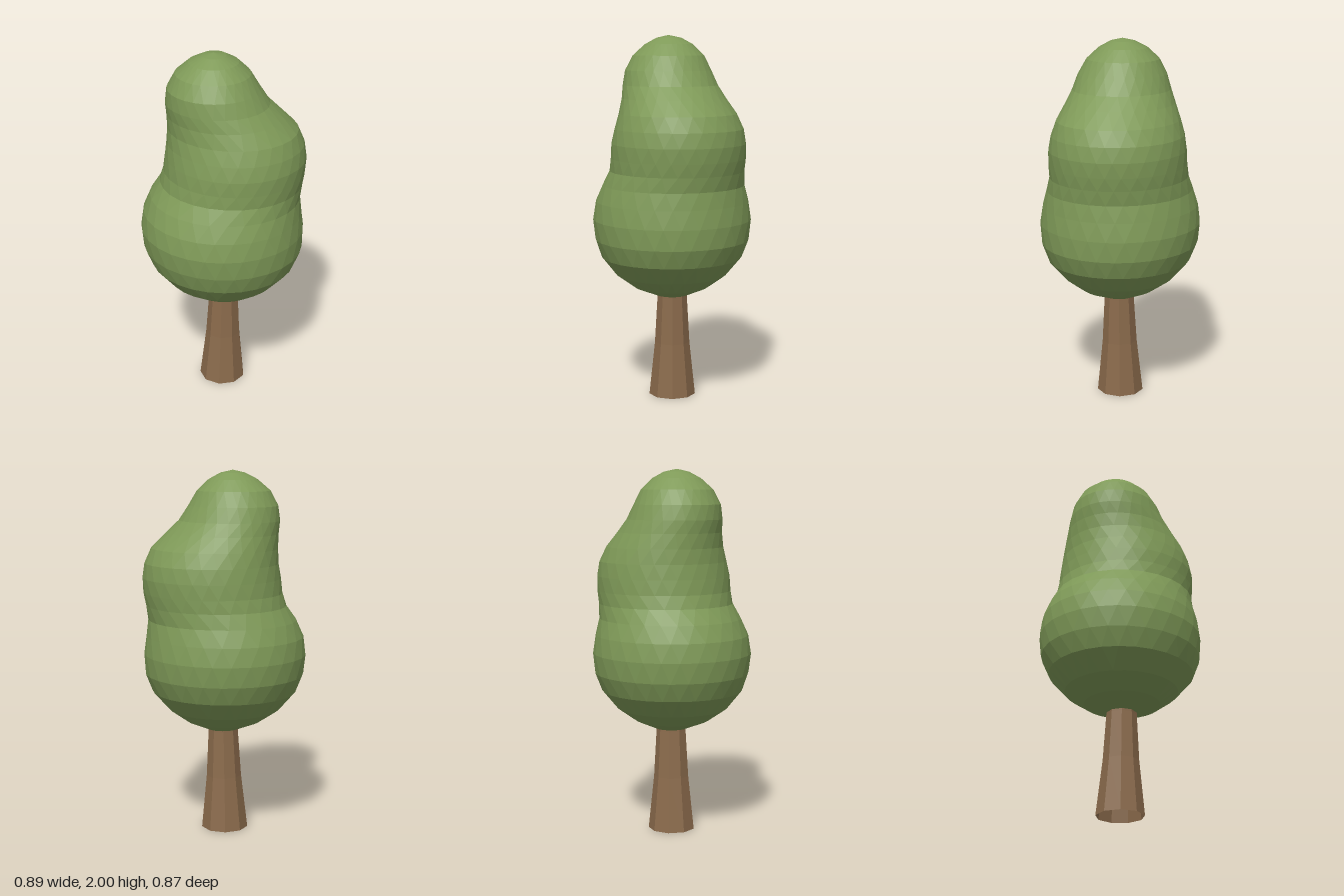
import * as THREE from 'three';

// Canopy outline: [height, left x, right x, back z, front z]
const OUTLINE = [
  [0.572, -0.08, 0.10, -0.09, 0.09],
  [0.62, -0.20, 0.22, -0.20, 0.21],
  [0.69, -0.305, 0.315, -0.30, 0.31],
  [0.79, -0.395, 0.405, -0.385, 0.39],
  [0.89, -0.438, 0.443, -0.425, 0.425],
  [1.0, -0.45, 0.447, -0.435, 0.437],
  [1.1, -0.437, 0.435, -0.42, 0.42],
  [1.19, -0.40, 0.423, -0.397, 0.383],
  [1.27, -0.35, 0.43, -0.395, 0.342],
  [1.34, -0.33, 0.44, -0.40, 0.335],
  [1.42, -0.32, 0.445, -0.40, 0.33],
  [1.5, -0.31, 0.432, -0.387, 0.313],
  [1.58, -0.305, 0.40, -0.35, 0.29],
  [1.66, -0.302, 0.325, -0.295, 0.275],
  [1.73, -0.302, 0.255, -0.25, 0.27],
  [1.81, -0.288, 0.205, -0.215, 0.258],
  [1.89, -0.245, 0.155, -0.175, 0.215],
  [1.95, -0.175, 0.09, -0.115, 0.15],
  [1.985, -0.105, 0.025, -0.05, 0.085],
];
const SIDES = 28;

// Skin the rings, staggering every second one for an irregular facet pattern
function canopyGeometry() {
  const positions = [];
  const index = [];
  OUTLINE.forEach(([y, left, right, back, front], row) => {
    for (let j = 0; j < SIDES; j++) {
      const a = ((j + (row % 2) * 0.5) / SIDES) * Math.PI * 2;
      positions.push(
        (left + right) / 2 + ((right - left) / 2) * Math.sin(a),
        y,
        (back + front) / 2 + ((front - back) / 2) * Math.cos(a)
      );
    }
  });
  const last = OUTLINE.length - 1;
  for (let i = 0; i < last; i++) {
    for (let j = 0; j < SIDES; j++) {
      const k = (j + 1) % SIDES;
      const a = i * SIDES + j, b = i * SIDES + k;
      const c = a + SIDES, d = b + SIDES;
      if (i % 2 === 0) index.push(a, b, c, b, d, c);
      else index.push(a, b, d, a, d, c);
    }
  }
  // Close the underside and the crown
  const bottom = positions.length / 3;
  positions.push(0.01, 0.565, 0, -0.04, 2, 0.02);
  for (let j = 0; j < SIDES; j++) {
    const k = (j + 1) % SIDES;
    index.push(bottom, k, j, last * SIDES + j, last * SIDES + k, bottom + 1);
  }
  const geometry = new THREE.BufferGeometry();
  geometry.setAttribute('position', new THREE.Float32BufferAttribute(positions, 3));
  geometry.setIndex(index);
  geometry.computeVertexNormals();
  return geometry;
}

// Nine-sided trunk, open at the foot, leaning slightly as it narrows
function trunkGeometry() {
  const profile = [[0.13, 0], [0.098, 0.3], [0.083, 0.56], [0.078, 0.75]]
    .map(([r, y]) => new THREE.Vector2(r, y));
  const geometry = new THREE.LatheGeometry(profile, 9, Math.PI / 2);
  const p = geometry.attributes.position;
  for (let i = 0; i < p.count; i++) p.setX(i, p.getX(i) + 0.016 * p.getY(i));
  geometry.computeVertexNormals();
  return geometry;
}

export function createModel() {
  const leaf = new THREE.MeshStandardMaterial({ color: 0x7f9a58, flatShading: true });
  leaf.name = 'leaf green';
  const bark = new THREE.MeshStandardMaterial({ color: 0x8b6b4c, flatShading: true, side: THREE.DoubleSide });
  bark.name = 'bark brown';

  const tree = new THREE.Group();
  tree.name = 'tree';
  const canopy = new THREE.Mesh(canopyGeometry(), leaf);
  canopy.name = 'canopy';
  const trunk = new THREE.Mesh(trunkGeometry(), bark);
  trunk.name = 'trunk';
  tree.add(canopy, trunk);
  return tree;
}
